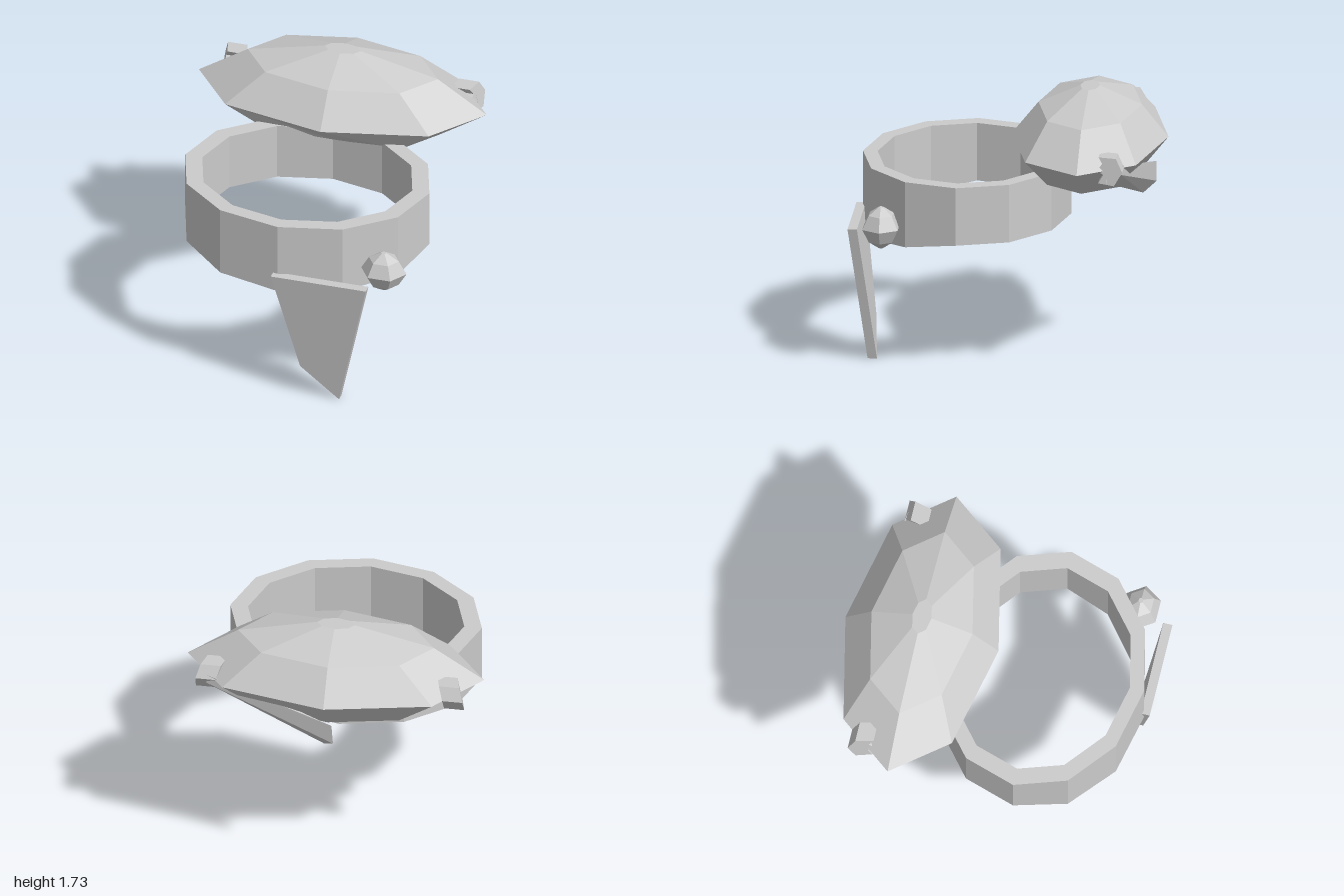
import * as THREE from 'three';
import { ConvexGeometry } from 'three/addons/geometries/ConvexGeometry.js';

const material = new THREE.MeshStandardMaterial({ color: 0xcccccc, flatShading: true });

function part(name, geometry) {
  const flat = geometry.index ? geometry.toNonIndexed() : geometry;
  flat.computeVertexNormals();
  const mesh = new THREE.Mesh(flat, material);
  mesh.name = name;
  return mesh;
}

// Apply a rule to every vertex
function warp(geometry, rule) {
  const pos = geometry.attributes.position;
  const v = new THREE.Vector3();
  for (let i = 0; i < pos.count; i++) {
    v.fromBufferAttribute(pos, i);
    rule(v);
    pos.setXYZ(i, v.x, v.y, v.z);
  }
  return geometry;
}

function lathe(profile, sides) {
  const points = profile.map(([r, y]) => new THREE.Vector2(r, y));
  return new THREE.LatheGeometry(points, sides, Math.PI / 2);
}

// Faceted ellipsoid with small flat caps
function facetedBall(sides, rx, ry, rz) {
  const profile = [[0, -1], [0.125, -1], [0.66, -0.64], [1, 0], [0.66, 0.64], [0.125, 1], [0, 1]];
  return lathe(profile, sides).scale(rx, ry, rz);
}

const solid = (corners) => new ConvexGeometry(corners.map((c) => new THREE.Vector3(...c)));

export function createModel() {
  const group = new THREE.Group();

  // Twelve-sided oval band whose lower edge dips towards the front
  const band = lathe([[1, 0.88], [1, 1.26], [0.86, 1.26], [0.86, 0.88], [1, 0.88]], 12);
  warp(band, (v) => {
    if (v.y < 1) v.y -= 0.1 * Math.max(0, v.z / Math.hypot(v.x, v.z));
  });
  band.scale(0.81, 1, 0.665).translate(0, 0, 0.285);
  group.add(part('band', band));

  // Wide faceted head, pressed in at the lower front
  const head = facetedBall(8, 0.955, 0.328, 0.5);
  warp(head, (v) => {
    if (v.y < -0.1 && Math.abs(v.x) < 0.01 && v.z > 0.2) v.z = 0.24;
  });
  head.translate(0, 1.403, -0.5);
  group.add(part('head', head));

  // Small faceted bead on the left front of the band
  const bead = part('bead', facetedBall(6, 0.15, 0.135, 0.13));
  bead.position.set(0.655, 0.945, 0.775);
  group.add(bead);

  // Flat hanging blade, leaning back towards its tip
  const outline = [[-0.03, 0.91], [0.14, 0.22], [0.39, 0], [0.6, 0.91]];
  const blade = new THREE.ExtrudeGeometry(
    new THREE.Shape(outline.map((p) => new THREE.Vector2(...p))),
    { depth: 0.06, bevelEnabled: false }
  );
  warp(blade, (v) => { v.z += 0.825 + 0.12 * v.y; });
  group.add(part('blade', blade));

  // Slanting bar under the back of the head
  group.add(part('bar', solid([
    [0.02, 1.035, -0.84], [-0.05, 1.095, -0.92], [-0.04, 1.23, -0.92], [0.03, 1.17, -0.84],
    [0.85, 1.33, -0.68], [0.79, 1.37, -0.77], [0.79, 1.43, -0.77], [0.83, 1.43, -0.68],
  ])));

  // Notched knobs on both back corners of the head
  const notched = [
    [0.627, 1.487], [0.655, 1.443], [0.61, 1.405], [0.66, 1.38],
    [0.627, 1.325], [0.73, 1.315], [0.783, 1.405], [0.74, 1.487],
  ];
  for (const side of [1, -1]) {
    const knob = new THREE.ExtrudeGeometry(
      new THREE.Shape(notched.map((p) => new THREE.Vector2(...p))),
      { depth: 0.13, bevelEnabled: false }
    );
    knob.rotateY(Math.PI / 2);
    warp(knob, (v) => { v.x += 0.71 - 0.2 * (v.y - 1.4) - 0.25 * (v.z + 0.7); });
    const mesh = part(side > 0 ? 'leftKnob' : 'rightKnob', knob);
    mesh.scale.x = side;
    group.add(mesh);
  }

  return group;
}
